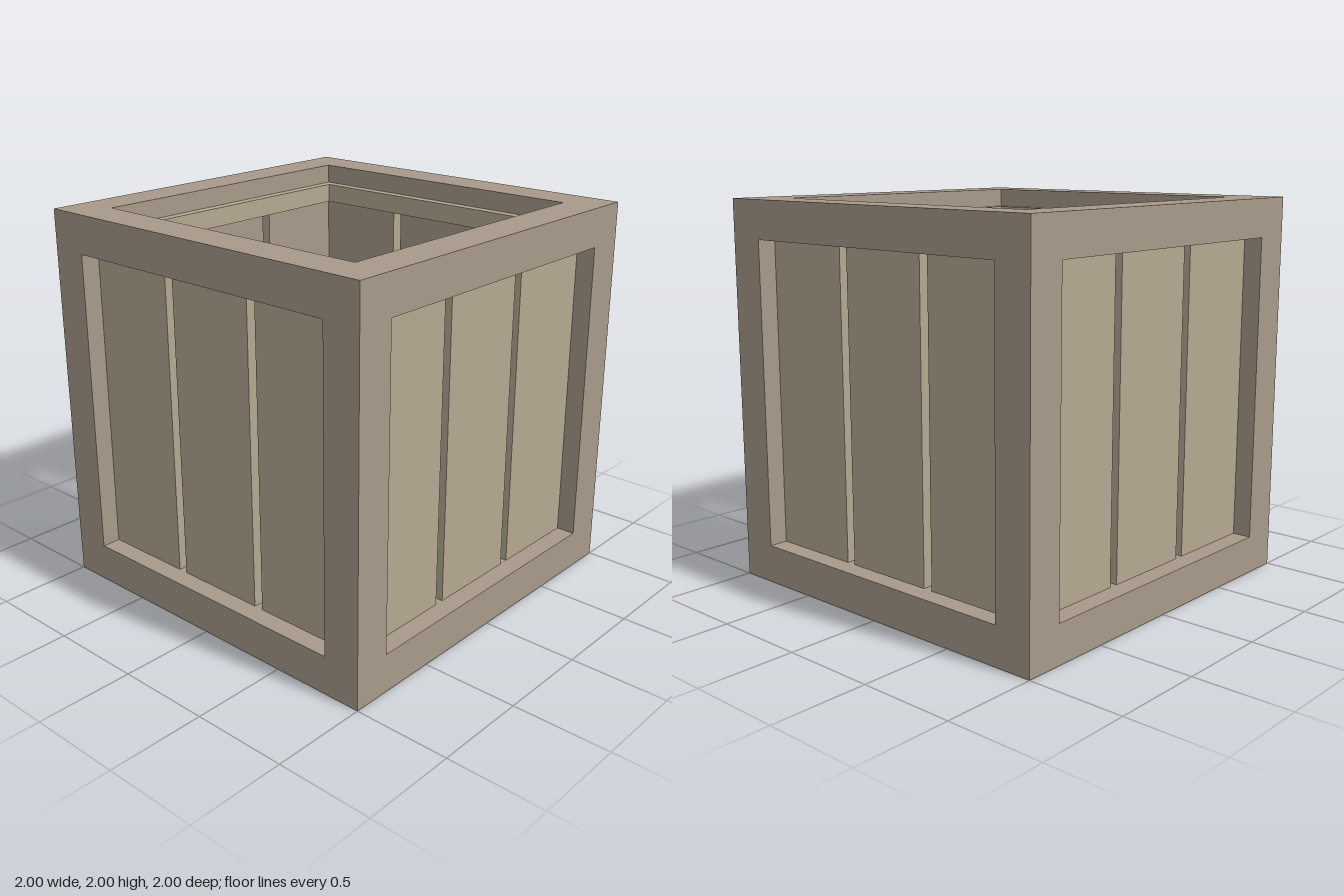
import * as THREE from 'three';

const frameMat = new THREE.MeshStandardMaterial({ color: 0xa89a8b });
const slatMat = new THREE.MeshStandardMaterial({ color: 0xb5a890 });

function addBox(parent, name, size, pos, material) {
  const mesh = new THREE.Mesh(new THREE.BoxGeometry(...size), material);
  mesh.position.set(...pos);
  mesh.name = name;
  parent.add(mesh);
}

// slat material with one box face (0..5) in the frame colour
const slatWith = (face) => Array.from({ length: 6 }, (_, i) => (i === face ? frameMat : slatMat));

// three recessed slats facing +z, inner face in the frame colour
function makePanel(name) {
  const panel = new THREE.Group();
  panel.name = name;
  for (const x of [-0.55, 0, 0.55]) {
    addBox(panel, 'slat', [0.5, 1.6, 0.1], [x, 0, 0.85], slatWith(5));
  }
  panel.position.y = 1;
  return panel;
}

export function createModel() {
  const crate = new THREE.Group();
  crate.name = 'crate';

  // square-section frame: corner posts and horizontal rails
  const frame = new THREE.Group();
  frame.name = 'frame';
  for (const a of [-0.9, 0.9]) {
    for (const b of [-0.9, 0.9]) {
      addBox(frame, 'cornerPost', [0.2, 2, 0.2], [a, 1, b], frameMat);
      addBox(frame, 'crossRail', [1.6, 0.2, 0.2], [0, 1 + a, b], frameMat);
      addBox(frame, 'sideRail', [0.2, 0.2, 1.6], [b, 1 + a, 0], frameMat);
    }
  }
  crate.add(frame);

  // four slatted walls
  ['frontWall', 'leftWall', 'backWall', 'rightWall'].forEach((name, i) => {
    const wall = makePanel(name);
    wall.rotation.y = (i * Math.PI) / 2;
    crate.add(wall);
  });

  // slatted floor
  const floor = makePanel('floor');
  floor.rotation.x = Math.PI / 2;
  crate.add(floor);

  // narrow lip inside the open top
  const lip = new THREE.Group();
  lip.name = 'openingLip';
  for (const s of [-1, 1]) {
    addBox(lip, 'lipCrossStrip', [1.6, 0.1, 0.05], [0, 1.85, s * 0.775], slatWith(3));
    addBox(lip, 'lipSideStrip', [0.05, 0.1, 1.5], [s * 0.775, 1.85, 0], slatWith(3));
  }
  crate.add(lip);

  return crate;
}
